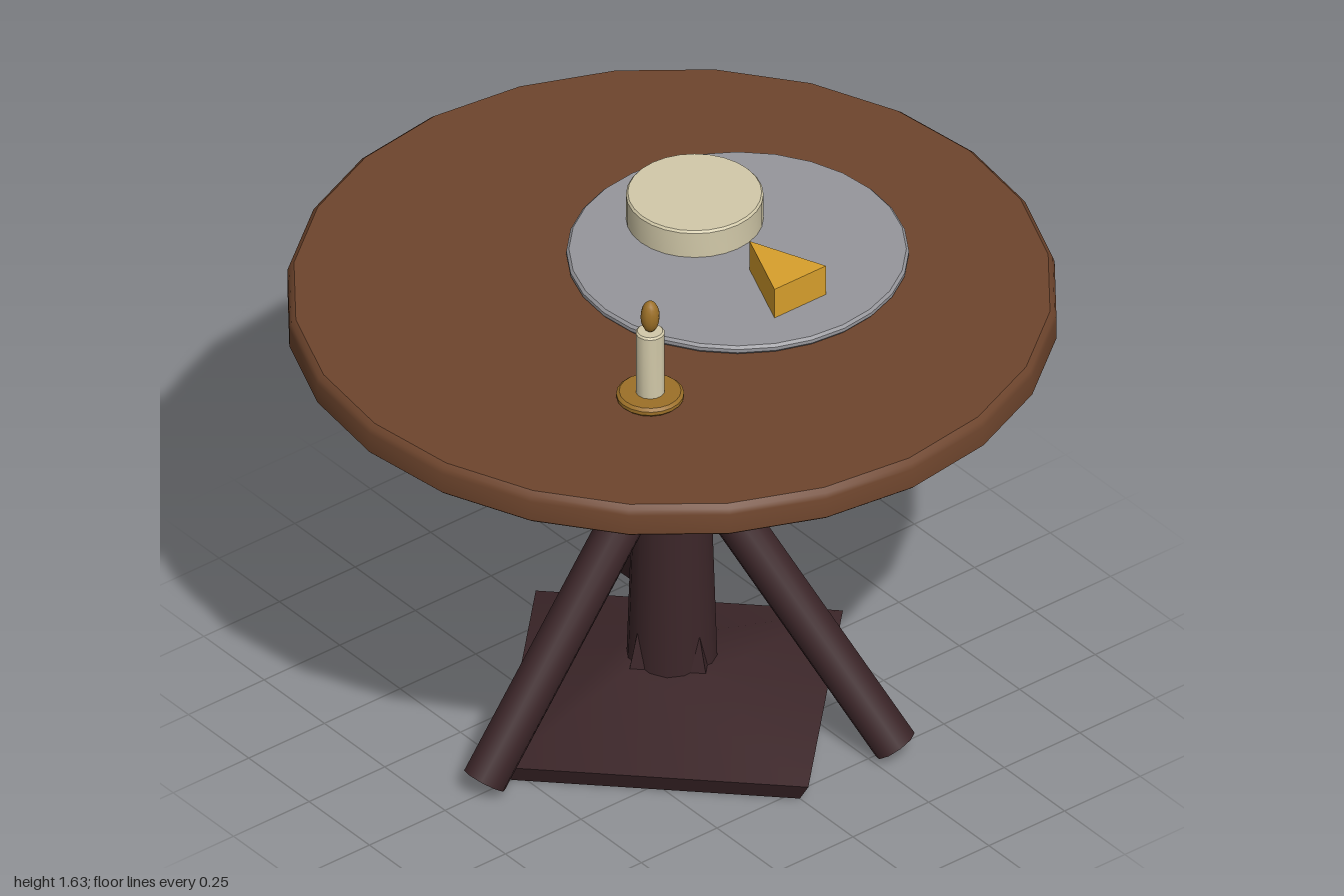
import * as THREE from 'three';
import { toCreasedNormals } from 'three/addons/utils/BufferGeometryUtils.js';

const mat = (name, color, flatShading = false) => {
  const m = new THREE.MeshStandardMaterial({ color, flatShading });
  m.name = name;
  return m;
};

// Solid of revolution with sharp profile corners and smooth sides
const turned = (profile, sides) => toCreasedNormals(
  new THREE.LatheGeometry(profile.map(([r, y]) => new THREE.Vector2(r, y)), sides), 0.6);

export function createModel() {
  const table = new THREE.Group();
  table.name = 'table';

  const topWood = mat('brown wood', 0x6e452d);
  const darkWood = mat('dark wood', 0x3c2629);
  const pewter = mat('grey metal', 0x96969b);
  const cream = mat('cream', 0xd2c9a9);
  const yellow = mat('cheese yellow', 0xd8a02c);
  const brass = mat('brass', 0x9c7028);

  const add = (name, geometry, material, x = 0, y = 0, z = 0) => {
    const mesh = new THREE.Mesh(geometry, material);
    mesh.name = name;
    mesh.position.set(x, y, z);
    table.add(mesh);
    return mesh;
  };

  // Round top with a softened upper rim
  add('tableTop', turned([
    [0, 1.237], [0.995, 1.237], [1, 1.242], [1, 1.3], [0.995, 1.315], [0.983, 1.325], [0, 1.325],
  ], 24), topWood);

  // Tapered column
  add('column', turned([[0, 0.1], [0.12, 0.1], [0.085, 1.24], [0, 1.24]], 16), darkWood);

  // Four-sided foot, corners on the axes, rising to a steep collar
  add('foot', turned([
    [0, 0], [0.53, 0], [0.565, 0.055], [0.14, 0.18], [0.115, 0.28], [0, 0.28],
  ], 4), darkWood);

  // Three slanted braces
  const up = new THREE.Vector3(0, 1, 0);
  for (let i = 0; i < 3; i++) {
    const a = (i * Math.PI * 2) / 3;
    const at = (r, y) => new THREE.Vector3(Math.sin(a) * r, y, Math.cos(a) * r);
    const low = at(0.62, 0.038), high = at(0.042, 0.822);
    const dir = high.clone().sub(low);
    const brace = add('brace', toCreasedNormals(
      new THREE.CylinderGeometry(0.06, 0.06, dir.length(), 10), 0.8), darkWood);
    brace.position.copy(low).add(high).multiplyScalar(0.5);
    brace.quaternion.setFromUnitVectors(up, dir.normalize());
  }

  // Serving plate
  add('plate', turned([
    [0, 0], [0.436, 0], [0.443, 0.008], [0.443, 0.018], [0.436, 0.025], [0, 0.025],
  ], 28), pewter, 0, 1.325, -0.217);

  // Cheese wheel
  add('cheeseWheel', turned([
    [0, 0], [0.178, 0], [0.178, 0.075], [0.173, 0.081], [0, 0.081],
  ], 28), cream, -0.178, 1.35, -0.217);

  // Cheese wedge, drawn in plan and extruded upwards
  const plan = new THREE.Shape([[0.092, 0.183], [0.302, 0.098], [0.302, 0.268]]
    .map(([x, y]) => new THREE.Vector2(x, y)));
  const wedge = new THREE.ExtrudeGeometry(plan, { depth: 0.09, bevelEnabled: false });
  wedge.rotateX(-Math.PI / 2);
  add('cheeseWedge', wedge, yellow, 0, 1.35, 0);

  // Candle on its dish
  const c = 0.357;
  add('candleDish', turned([
    [0, 0], [0.08, 0], [0.088, 0.008], [0.088, 0.018], [0.08, 0.025], [0, 0.025],
  ], 20), brass, c, 1.325, c);
  add('candle', turned([
    [0, 0], [0.038, 0], [0.038, 0.185], [0.033, 0.19], [0, 0.19],
  ], 14), cream, c, 1.35, c);
  const flame = new THREE.SphereGeometry(1, 12, 10);
  flame.scale(0.025, 0.047, 0.025);
  add('flame', flame, brass, c, 1.585, c);

  return table;
}
